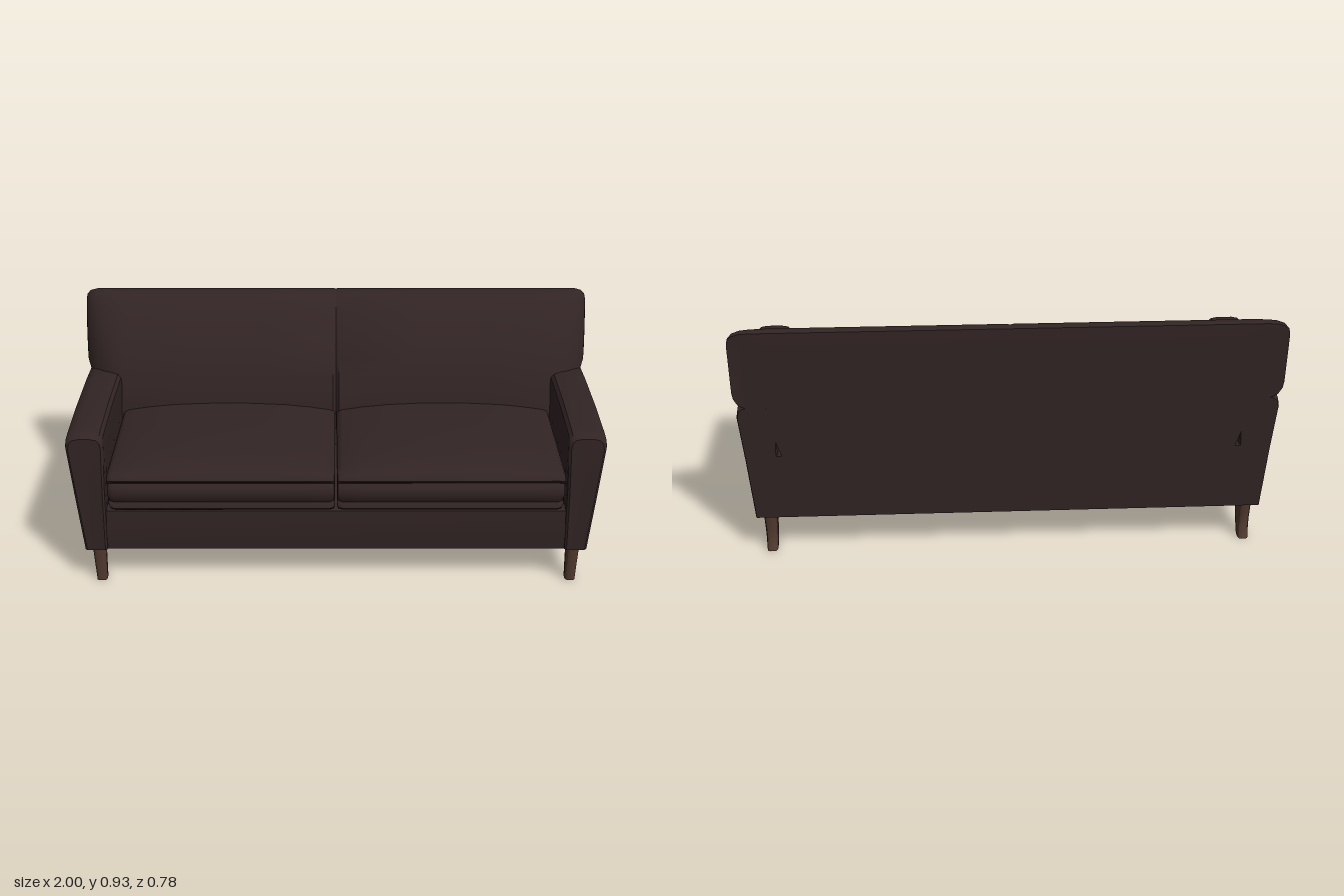
import * as THREE from 'three';
import { toCreasedNormals } from 'three/addons/utils/BufferGeometryUtils.js';

// Skin a row of closed rings (arrays of [x, y, z]) and cap both ends.
function loft(rings, crease = 0.6) {
  const n = rings[0].length, pos = [];
  const tri = (a, b, c) => pos.push(...a, ...b, ...c);
  for (let i = 0; i < rings.length - 1; i++) {
    for (let j = 0; j < n; j++) {
      const k = (j + 1) % n, A = rings[i], B = rings[i + 1];
      tri(A[j], A[k], B[k]);
      tri(A[j], B[k], B[j]);
    }
  }
  const cap = (ring, flip) => {
    const c = [0, 1, 2].map(a => ring.reduce((s, p) => s + p[a], 0) / n);
    ring.forEach((p, j) => {
      const q = ring[(j + 1) % n];
      flip ? tri(c, p, q) : tri(c, q, p);
    });
  };
  cap(rings[0], false);
  cap(rings[rings.length - 1], true);
  // Turn the faces outward if the signed volume is negative.
  let vol = 0;
  for (let i = 0; i < pos.length; i += 9) {
    const [a, b, c, d, e, f, g, h, k] = pos.slice(i, i + 9);
    vol += a * (e * k - f * h) + b * (f * g - d * k) + c * (d * h - e * g);
  }
  if (vol < 0) {
    for (let i = 0; i < pos.length; i += 9) {
      for (let a = 0; a < 3; a++) [pos[i + 3 + a], pos[i + 6 + a]] = [pos[i + 6 + a], pos[i + 3 + a]];
    }
  }
  const geo = new THREE.BufferGeometry();
  geo.setAttribute('position', new THREE.Float32BufferAttribute(pos, 3));
  return toCreasedNormals(geo, crease);
}

// Piecewise linear lookup in a list of [input, output] pairs.
function lerpTable(t, x) {
  if (x <= t[0][0]) return t[0][1];
  for (let i = 1; i < t.length; i++) {
    if (x <= t[i][0]) {
      const [a, b] = [t[i - 1], t[i]];
      return b[1] * (x - a[0]) / (b[0] - a[0]) + a[1] * (b[0] - x) / (b[0] - a[0]);
    }
  }
  return t[t.length - 1][1];
}

const rearZ = y => lerpTable([[0.15, -0.355], [0.62, -0.372], [0.92, -0.39]], y);

// Backrest: raked front, narrowing to rounded ends that overhang the arms
function backrestGeometry() {
  const front = [[0.42, -0.12], [0.55, -0.135], [0.65, -0.16], [0.7, -0.18], [0.75, -0.205],
    [0.8, -0.235], [0.85, -0.272], [0.9, -0.315], [0.915, -0.332]];
  // |x|, depth factor, drop of the top, bottom height
  const half = [[0.012, 1, 0, 0.42], [0.3, 1, 0, 0.42], [0.6, 1, 0, 0.42], [0.84, 1, 0, 0.42],
    [0.88, 0.96, 0, 0.55], [0.92, 0.87, 0, 0.6], [0.955, 0.75, 0.002, 0.62],
    [0.982, 0.6, 0.01, 0.635], [0.996, 0.47, 0.025, 0.66], [1, 0.38, 0.04, 0.69]];
  const stations = [...half.map(s => [-s[0], ...s.slice(1)]).reverse(), [0, 0.95, 0.002, 0.42], ...half];
  return loft(stations.map(([x, k, drop, low]) => {
    const ring = [], steps = 14;
    const add = (y, z) => ring.push([x, y - drop * Math.max(0, (y - low) / (0.92 - low)), rearZ(y) + (z - rearZ(y)) * k]);
    for (let i = 0; i <= steps; i++) {
      const y = low + (0.915 - low) * i / steps;
      add(y, lerpTable(front, y));
    }
    add(0.923, -0.35);
    add(0.925, -0.375);
    add(0.92, -0.388);
    add(0.9, rearZ(0.9));
    add(Math.max(0.62, low + 0.005), rearZ(0.62));
    add(low, rearZ(low));
    return ring;
  }), 0.7);
}

// Arm: tapered upright with a softly rounded, slightly crowned top
function armGeometry() {
  const top = [[-0.372, 0.622], [-0.3, 0.64], [-0.15, 0.65], [0.1, 0.655], [0.3, 0.65], [0.345, 0.645], [0.362, 0.635]];
  const stations = [[-0.372, 0.004], [-0.36, 0], [-0.3, 0], [-0.15, 0], [0.1, 0], [0.3, 0], [0.345, 0], [0.356, 0.003], [0.362, 0.011]];
  return loft(stations.map(([z, inset]) => {
    const t = lerpTable(top, z);
    const section = [[0.866, 0.155], [0.858, 0.4], [0.85, t - 0.04], [0.853, t - 0.018], [0.865, t - 0.005], [0.89, t],
      [0.95, t], [0.973, t - 0.005], [0.987, t - 0.018], [0.992, t - 0.045], [0.975, 0.4], [0.956, 0.155]];
    return section.map(([x, y]) => {
      const sx = x + Math.sign(0.92 - x) * inset;
      const sz = z < -0.35 ? z + rearZ(y) + 0.372 : z > 0.34 ? z - 0.008 * Math.abs(y - 0.4) / 0.25 : z;
      return [sx, y, sz];
    });
  }));
}

// Seat cushion: crowned top and welted, softly folded front
function cushionGeometry() {
  const xs = [0.003, 0.008, 0.025, 0.1, 0.2, 0.32, 0.425, 0.53, 0.65, 0.75, 0.825, 0.841, 0.847];
  return loft(xs.map(x => {
    const t = (x - 0.425) / 0.422;
    const c = 1 - Math.pow(Math.abs(t), 2.5);
    const e = x < 0.006 || x > 0.845 ? 0.012 : x < 0.01 || x > 0.84 ? 0.004 : 0;
    const profile = [[-0.2, 0.345], [0.34, 0.338], [0.366, 0.342], [0.379, 0.355], [0.376, 0.37], [0.37, 0.378],
      [0.381, 0.395], [0.386, 0.42], [0.382, 0.445], [0.37, 0.459], [0.38, 0.467], [0.388, 0.478], [0.382, 0.491],
      [0.366, 0.497 + 0.008 * c], [0.32, 0.499 + 0.022 * c], [0.22, 0.5 + 0.035 * c], [0.05, 0.5 + 0.038 * c], [-0.2, 0.5 + 0.03 * c]];
    return profile.map(([z, y]) => [x, y + (y < 0.42 ? e : -e), z - (z > 0 ? e : 0)]);
  }), 0.75);
}

// Leg: rounded square sections given as [y, front z, rear z, half width]
function legGeometry(sections) {
  return loft(sections.map(([y, zf, zr, w]) => {
    const ring = [];
    for (let i = 0; i < 16; i++) {
      const a = (i + 0.5) / 16 * Math.PI * 2;
      const soft = v => Math.sign(v) * Math.pow(Math.abs(v), 0.55);
      ring.push([0.906 + w * soft(Math.cos(a)), y, (zf + zr) / 2 + (zf - zr) / 2 * soft(Math.sin(a))]);
    }
    return ring;
  }));
}

export function createModel() {
  const model = new THREE.Group();
  model.name = 'sofa';
  const leather = new THREE.MeshStandardMaterial({ name: 'dark brown leather', color: 0x322424 });
  const wood = new THREE.MeshStandardMaterial({ name: 'brown wood', color: 0x523a2f });

  const add = (name, geo, mat) => {
    const mesh = new THREE.Mesh(geo, mat);
    mesh.name = name;
    model.add(mesh);
  };
  // Mirror a left-hand part by negating x and reversing each triangle.
  const mirrored = geo => {
    const g = geo.clone().scale(-1, 1, 1);
    for (const key of ['position', 'normal']) {
      const a = g.attributes[key].array;
      for (let i = 0; i < a.length; i += 9) {
        for (let k = 0; k < 3; k++) [a[i + 3 + k], a[i + 6 + k]] = [a[i + 6 + k], a[i + 3 + k]];
      }
    }
    return g;
  };
  const addPair = (name, geo, mat) => {
    add('left ' + name, geo, mat);
    add('right ' + name, mirrored(geo), mat);
  };

  // Base with front rail and lower back panel
  const base = [[0.345, 0.155], [0.352, 0.24], [0.348, 0.325], [0.33, 0.335], [-0.15, 0.335], [-0.15, 0.42],
    [rearZ(0.42), 0.42], [rearZ(0.155), 0.155]];
  add('base', loft([-0.88, 0.88].map(x => base.map(([z, y]) => [x, y, z]))), leather);
  add('backrest', backrestGeometry(), leather);
  addPair('arm', armGeometry(), leather);
  addPair('seat cushion', cushionGeometry(), leather);

  // Straight tapered front legs and swept rear legs
  addPair('front leg', legGeometry([[0, 0.331, 0.284, 0.02], [0.16, 0.34, 0.275, 0.025]]), wood);
  addPair('rear leg', legGeometry([[0, -0.288, -0.346, 0.02], [0.02, -0.276, -0.34, 0.021], [0.05, -0.261, -0.333, 0.022],
    [0.085, -0.25, -0.333, 0.023], [0.12, -0.243, -0.338, 0.024], [0.16, -0.24, -0.342, 0.025]]), wood);
  return model;
}
